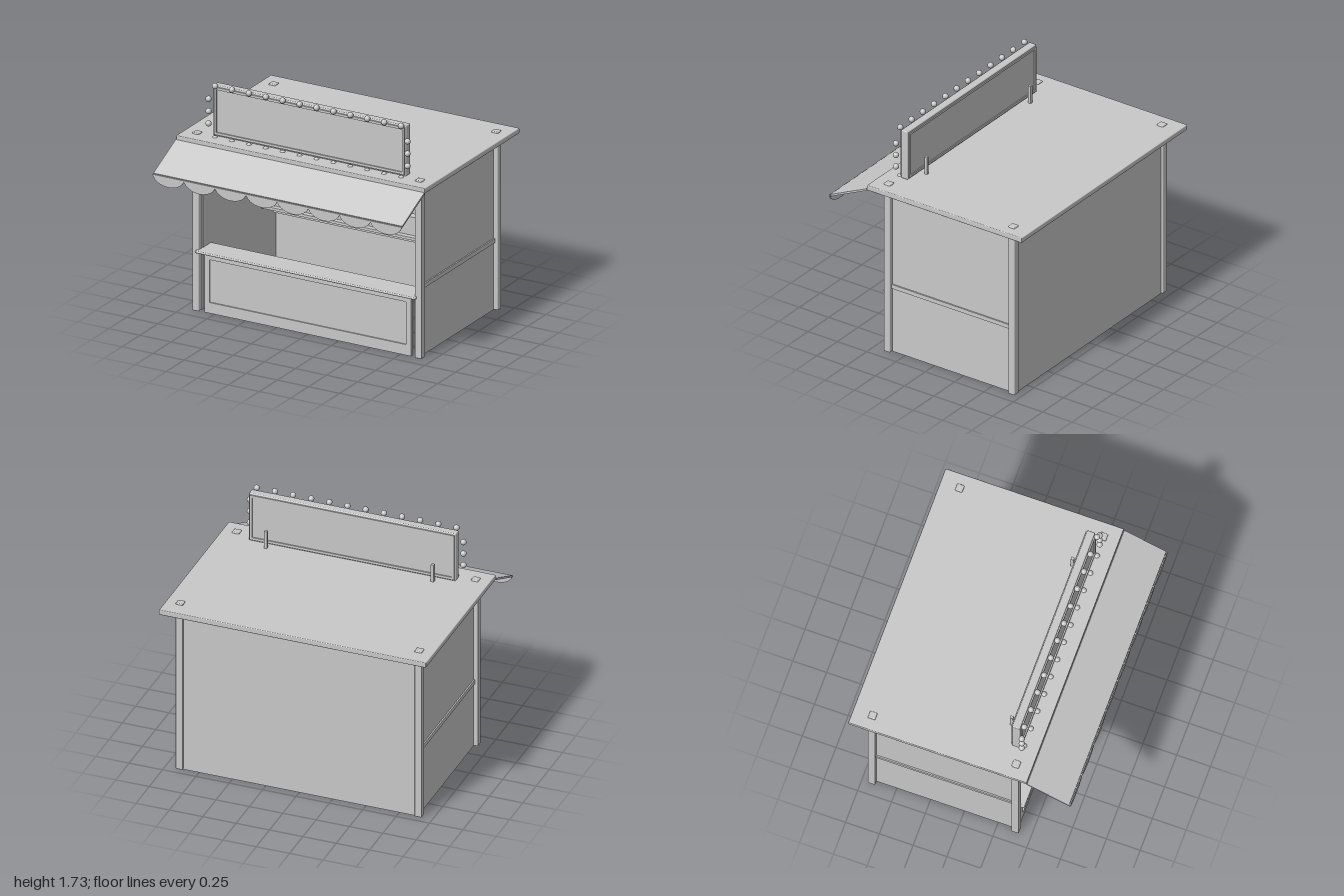
import * as THREE from 'three';
import { RoundedBoxGeometry } from 'three/addons/geometries/RoundedBoxGeometry.js';

export function createModel() {
  const stall = new THREE.Group();
  stall.name = 'gameStall';
  const grey = new THREE.MeshStandardMaterial({ color: 0xc8c8c8 });
  grey.name = 'plain grey';

  const add = (name, geometry, x = 0, y = 0, z = 0) => {
    const mesh = new THREE.Mesh(geometry, grey);
    mesh.name = name;
    mesh.position.set(x, y, z);
    stall.add(mesh);
    return mesh;
  };
  // Box given by its limits on each axis, optionally with softened edges
  const box = (name, [x0, x1], [y0, y1], [z0, z1], bevel = 0) => {
    const size = [x1 - x0, y1 - y0, z1 - z0];
    const geometry = bevel ? new RoundedBoxGeometry(...size, 2, bevel) : new THREE.BoxGeometry(...size);
    return add(name, geometry, (x0 + x1) / 2, (y0 + y1) / 2, (z0 + z1) / 2);
  };
  const plate = (name, shape, depth, x, y, z) =>
    add(name, new THREE.ExtrudeGeometry(shape, { depth, bevelEnabled: false, curveSegments: 10 }), x, y, z);
  // Rectangular border with an open middle
  const border = (name, w, h, rim, depth, x, y, z) => {
    const rect = (target, a, b) => target.moveTo(-a, -b).lineTo(a, -b).lineTo(a, b).lineTo(-a, b).closePath();
    const shape = rect(new THREE.Shape(), w / 2, h / 2);
    shape.holes.push(rect(new THREE.Path(), w / 2 - rim, h / 2 - rim));
    return plate(name, shape, depth, x, y, z);
  };

  // Roof and corner posts
  box('roof', [-1, 1], [1.285, 1.325], [-0.82, 0.5], 0.006);
  for (const x of [-0.895, 0.895]) {
    for (const z of [-0.677, 0.385]) {
      box('cornerPost', [x - 0.027, x + 0.027], [0, 1.335], [z - 0.027, z + 0.027], 0.007);
    }
  }

  // Walls with a rail along each side
  box('backWall', [-0.87, 0.87], [0, 1.285], [-0.69, -0.665]);
  for (const side of [-1, 1]) {
    const range = (a, b) => (side > 0 ? [a, b] : [-b, -a]);
    box('sideWall', range(0.865, 0.89), [0, 1.285], [-0.65, 0.36]);
    box('sideRail', range(0.888, 0.9), [0.503, 0.535], [-0.65, 0.36]);
    box('wallTopTrim', range(0.888, 0.897), [1.27, 1.285], [-0.65, 0.36]);
  }

  // Front counter
  box('frontPanel', [-0.83, 0.83], [0, 0.445], [0.365, 0.388]);
  border('frontPanelFrame', 1.66, 0.4, 0.04, 0.01, 0, 0.24, 0.388);
  box('frontPanelBase', [-0.83, 0.83], [0, 0.041], [0.388, 0.398]);
  box('counterTop', [-0.885, 0.885], [0.445, 0.463], [0.24, 0.44], 0.007);

  // Prize shelf along the back
  box('backShelf', [-0.865, 0.865], [0.48, 0.5], [-0.665, -0.45]);
  box('shelfBox', [-0.79, 0.79], [0.45, 0.62], [-0.64, -0.49]);
  box('shelfLedge', [-0.79, 0.79], [0.62, 0.638], [-0.64, -0.485]);

  // Row of cut-out targets, one missing
  const duck = new THREE.Shape([
    [-0.05, 0], [0.055, 0], [0.075, 0.03], [0.05, 0.06], [0.06, 0.1], [0.025, 0.113],
    [-0.005, 0.085], [-0.015, 0.06], [-0.04, 0.055], [-0.05, 0.03],
  ].map(([x, y]) => new THREE.Vector2(x, y)));
  for (const x of [-0.675, -0.29, -0.1, 0.095, 0.29, 0.48, 0.675]) {
    plate('duckTarget', duck, 0.012, x, 0.638, -0.56);
  }

  // Round targets on the back wall
  for (const x of [-0.5, 0, 0.5]) {
    const disc = add('roundTarget', new THREE.CylinderGeometry(0.122, 0.122, 0.015, 32), x, 1.062, -0.655);
    disc.rotation.x = Math.PI / 2;
  }

  // Sloping awning
  const slope = Math.atan2(0.145, 0.31);
  const awning = add('awning', new THREE.BoxGeometry(2, 0.014, 0.342), 0, 1.217, 0.655);
  awning.rotation.x = slope;

  // Scalloped valance
  const scallops = new THREE.Shape();
  scallops.moveTo(1, 1.145).lineTo(-1, 1.145).lineTo(-1, 1.135);
  for (let i = 0; i < 8; i++) {
    const x = -1 + i * 0.25;
    scallops.bezierCurveTo(x + 0.035, 1.048, x + 0.215, 1.048, x + 0.25, 1.135);
  }
  scallops.closePath();
  plate('valance', scallops, 0.008, 0, 0, 0.814);

  // Roof sign with raised faces and rear struts
  box('signBoard', [-0.775, 0.775], [1.325, 1.705], [0.31, 0.368], 0.007);
  border('signFrontFrame', 1.53, 0.355, 0.018, 0.012, 0, 1.515, 0.366);
  border('signBackFrame', 1.53, 0.355, 0.018, 0.01, 0, 1.515, 0.302);
  for (const x of [-0.625, 0.625]) {
    box('signStrut', [x - 0.011, x + 0.011], [1.32, 1.46], [0.244, 0.266]);
  }

  // Light bulbs around the sign
  const bulb = new THREE.SphereGeometry(0.022, 12, 8);
  for (let i = 0; i < 12; i++) {
    const x = -0.748 + (i * 1.496) / 11;
    add('topBulb', bulb, x, 1.708, 0.392);
    add('bottomBulb', bulb, x, 1.315, 0.392);
  }
  for (const x of [-0.8, 0.8]) {
    for (const y of [1.418, 1.51, 1.602]) add('sideBulb', bulb, x, y, 0.392);
  }

  return stall;
}
